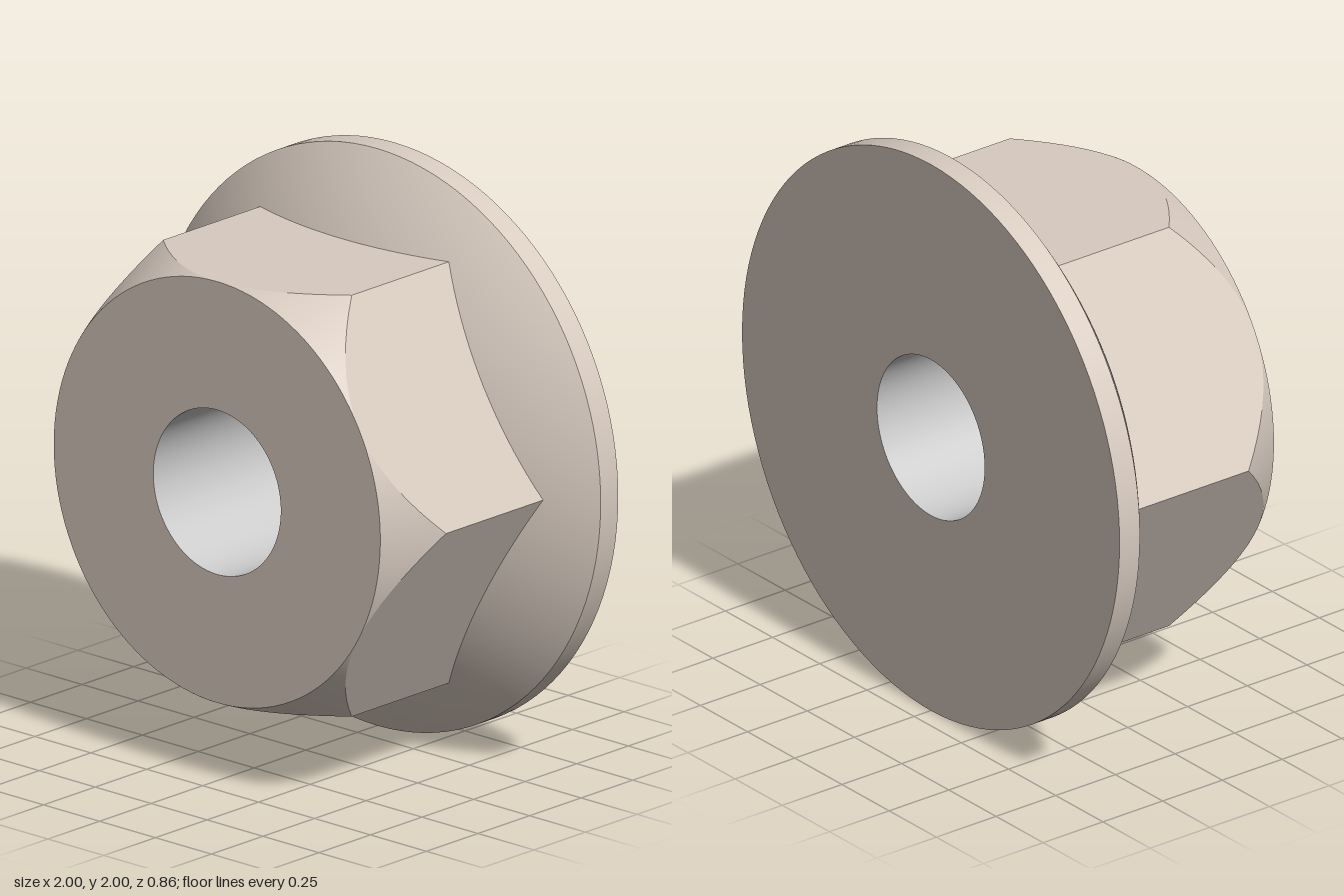
import * as THREE from 'three';

const APOTHEM = 0.73, BORE = 0.285, FLANGE = 1, HALF = 0.43, RIM_Z = -0.345;
const STEPS = 20; // columns per hex side

// Domed upper side of the flange: part of a sphere centred on the axis
const DOME = 1.62;
const domeCentre = RIM_Z - Math.sqrt(DOME * DOME - FLANGE * FLANGE);
const domeZ = r => domeCentre + Math.sqrt(DOME * DOME - r * r);

// Hexagon radius at an angle phi from the middle of a side; 30 degree chamfer on its front
const hexR = phi => APOTHEM / Math.cos(phi);
const chamferZ = phi => HALF - Math.sqrt(3) * (hexR(phi) - APOTHEM);

// Surface swept round the z axis. profile(phi, t) gives [radius, z];
// normal(radius) gives [radial, axial]; flat sides share one radial direction.
function sweep(name, material, profile, normal, { rows = 1, flat = false } = {}) {
  const pos = [], nor = [], idx = [];
  for (let side = 0; side < 6; side++) {
    const middle = (side + 0.5) * Math.PI / 3;
    const base = pos.length / 3;
    for (let i = 0; i <= STEPS; i++) {
      const phi = (i / STEPS - 0.5) * Math.PI / 3;
      const angle = middle + phi, dir = flat ? middle : angle;
      for (let j = 0; j <= rows; j++) {
        const [r, z] = profile(phi, j / rows);
        const [nr, nz] = normal(r);
        pos.push(r * Math.cos(angle), r * Math.sin(angle), z);
        nor.push(nr * Math.cos(dir), nr * Math.sin(dir), nz);
        if (i < STEPS && j < rows) {
          const a = base + i * (rows + 1) + j, b = a + rows + 1;
          idx.push(a, a + 1, b, a + 1, b + 1, b);
        }
      }
    }
  }
  const geometry = new THREE.BufferGeometry();
  geometry.setAttribute('position', new THREE.Float32BufferAttribute(pos, 3));
  geometry.setAttribute('normal', new THREE.Float32BufferAttribute(nor, 3));
  geometry.setIndex(idx);
  const mesh = new THREE.Mesh(geometry, material);
  mesh.name = name;
  return mesh;
}

export function createModel() {
  const body = new THREE.MeshStandardMaterial({ color: 0xd8cbc0 });
  const grey = new THREE.MeshStandardMaterial({ color: 0xcccccc });
  const mix = THREE.MathUtils.lerp;

  const hexHead = new THREE.Group();
  hexHead.name = 'hexHead';
  hexHead.add(
    sweep('frontFace', body, (p, t) => [mix(BORE, APOTHEM, t), HALF], () => [0, 1]),
    sweep('chamfer', body,
      (p, t) => [mix(APOTHEM, hexR(p), t), mix(HALF, chamferZ(p), t)],
      () => [Math.sqrt(3) / 2, 0.5]),
    sweep('hexSides', body,
      (p, t) => [hexR(p), mix(chamferZ(p), domeZ(hexR(p)), t)],
      () => [1, 0], { flat: true }),
  );

  const flange = new THREE.Group();
  flange.name = 'flange';
  flange.add(
    sweep('flangeDome', body,
      (p, t) => { const r = mix(hexR(p), FLANGE, t); return [r, domeZ(r)]; },
      r => [r / DOME, Math.sqrt(1 - (r / DOME) ** 2)], { rows: 8 }),
    sweep('flangeRim', body, (p, t) => [FLANGE, mix(RIM_Z, -HALF, t)], () => [1, 0]),
    sweep('backFace', body, (p, t) => [mix(FLANGE, BORE, t), -HALF], () => [0, -1]),
  );

  // Through hole, facing the axis
  const bore = sweep('bore', grey, (p, t) => [BORE, mix(-HALF, HALF, t)], () => [-1, 0]);

  const nut = new THREE.Group();
  nut.name = 'flangeNut';
  nut.add(hexHead, flange, bore);
  nut.position.y = FLANGE;

  const model = new THREE.Group();
  model.name = 'model';
  model.add(nut);
  return model;
}
